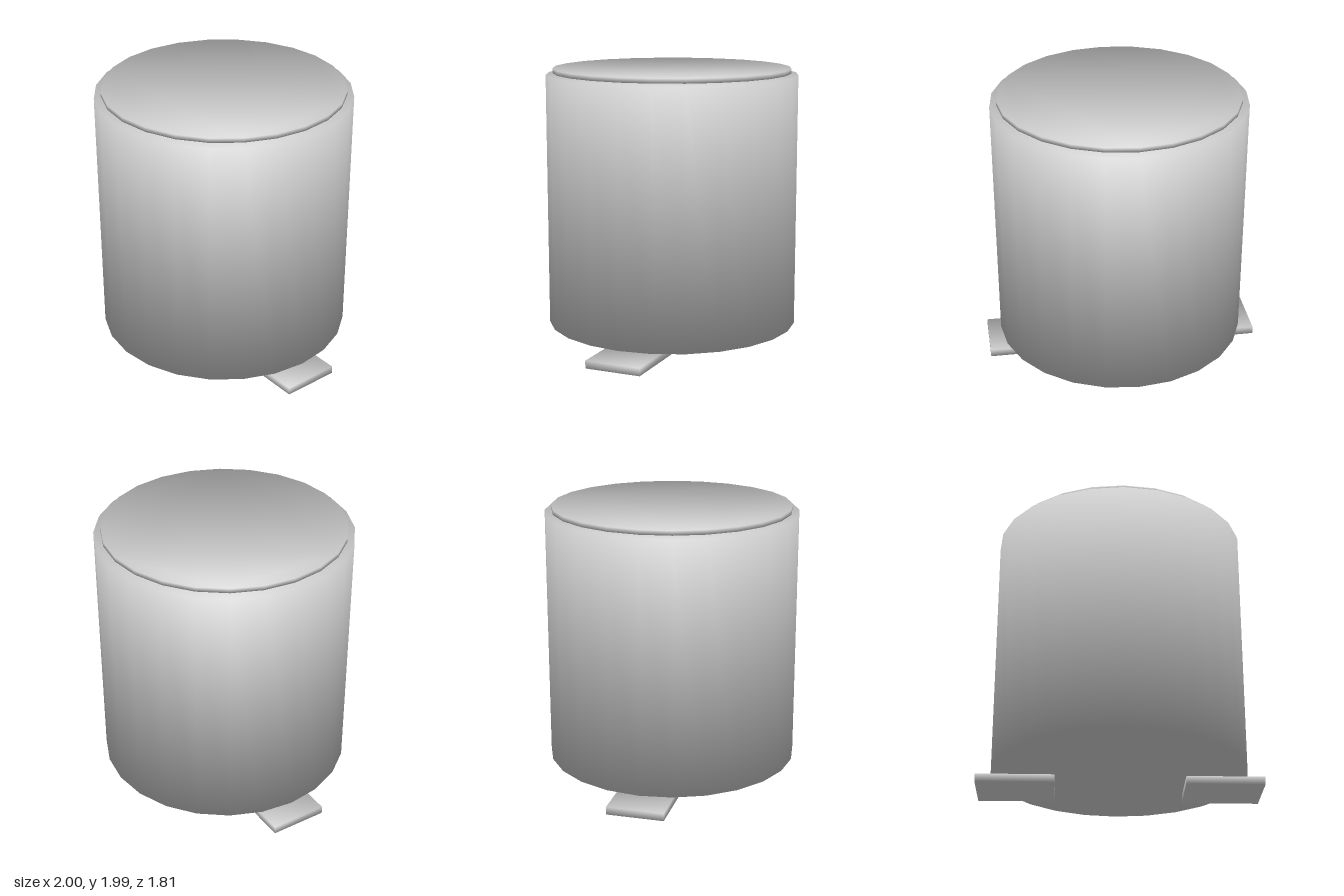
import * as THREE from 'three';
import { mergeVertices } from 'three/addons/utils/BufferGeometryUtils.js';

// Weld a centred solid and shade it softly across every edge:
// each corner normal is its position divided by the solid's half sizes.
function soften(geometry, halfX, halfY, halfZ) {
  geometry.deleteAttribute('uv');
  geometry.deleteAttribute('normal');
  const welded = mergeVertices(geometry, 1e-4);
  const pos = welded.attributes.position;
  const normals = new Float32Array(pos.count * 3);
  const n = new THREE.Vector3();
  for (let i = 0; i < pos.count; i++) {
    n.fromBufferAttribute(pos, i);
    n.set(n.x / halfX, n.y / halfY, n.z / halfZ).normalize().toArray(normals, i * 3);
  }
  welded.setAttribute('normal', new THREE.BufferAttribute(normals, 3));
  return welded;
}

// Upright 24-sided drum, centred on the origin
function drum(radius, height) {
  const points = [];
  for (let i = 0; i < 24; i++) {
    const a = (i / 24) * Math.PI * 2;
    points.push(new THREE.Vector2(Math.cos(a) * radius, Math.sin(a) * radius));
  }
  const geometry = new THREE.ExtrudeGeometry(new THREE.Shape(points), { depth: height, bevelEnabled: false });
  geometry.translate(0, 0, -height / 2);
  geometry.rotateX(-Math.PI / 2);
  return soften(geometry, radius, height / 2, radius);
}

export function createModel() {
  const model = new THREE.Group();
  model.name = 'drumOnFeet';
  const grey = new THREE.MeshStandardMaterial({ color: 0xcccccc });
  grey.name = 'light grey';

  const add = (name, geometry, x, y) => {
    const mesh = new THREE.Mesh(geometry, grey);
    mesh.name = name;
    mesh.position.set(x, y, 0);
    model.add(mesh);
  };

  // Main body, and the thin lid floating just above it
  add('body', drum(0.906, 1.817), 0, 1.032);
  add('lid', drum(0.857, 0.033), 0, 1.969);

  // Flat feet reaching out below the body on both sides
  const foot = soften(new THREE.BoxGeometry(0.545, 0.056, 0.412), 0.2725, 0.028, 0.206);
  add('leftFoot', foot, 0.7275, 0.028);
  add('rightFoot', foot, -0.7275, 0.028);

  return model;
}
